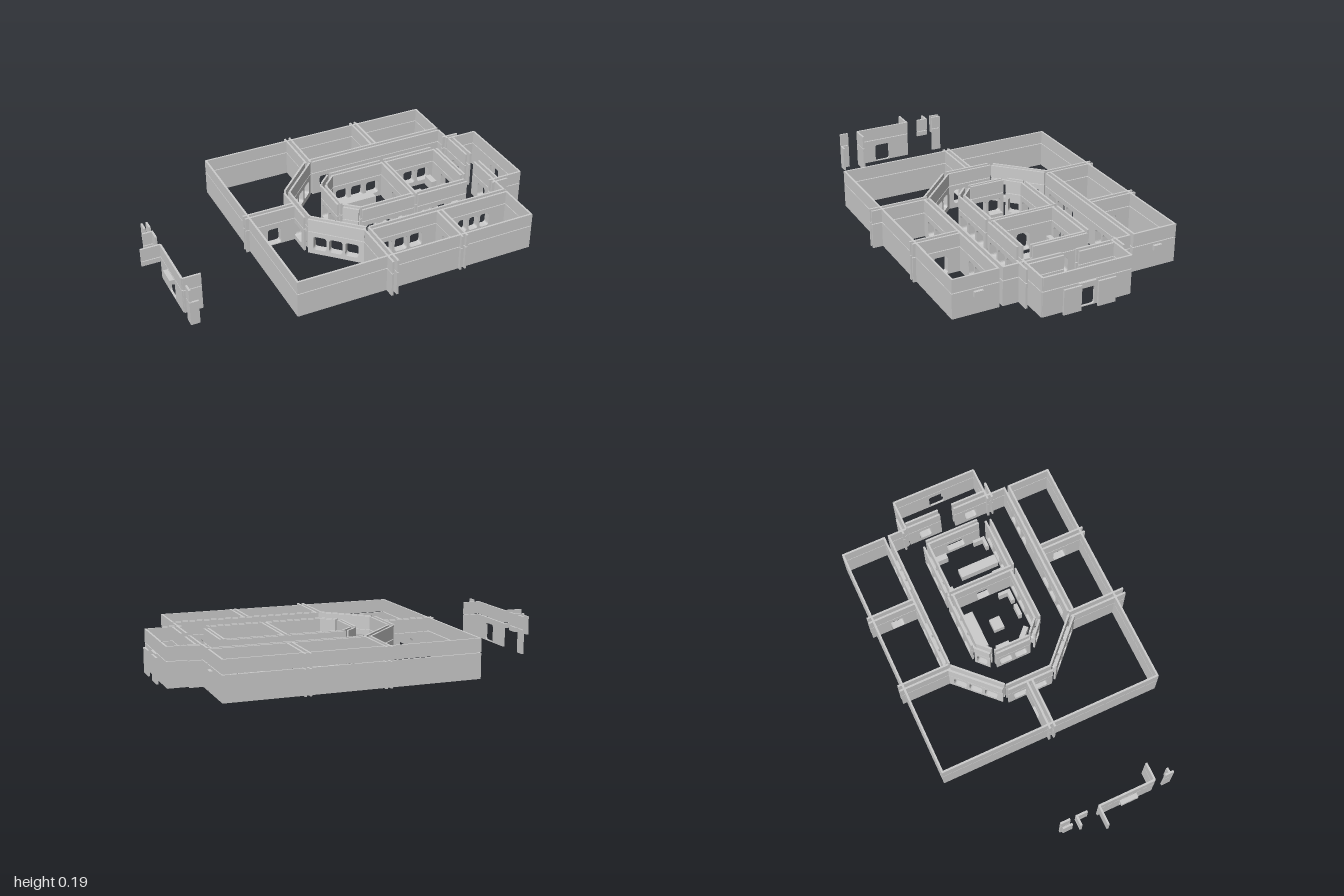
import * as THREE from 'three';

const SEAM = 0.125, UP = 0.129, TOP = 0.195, T = 0.01;
const mat = new THREE.MeshStandardMaterial({ color: 0xcccccc, flatShading: true, side: THREE.DoubleSide });

// rounded rectangle outline, used for openings
function rounded(target, x0, y0, x1, y1, r) {
  target.moveTo(x0 + r, y0);
  target.lineTo(x1 - r, y0);
  target.quadraticCurveTo(x1, y0, x1, y0 + r);
  target.lineTo(x1, y1 - r);
  target.quadraticCurveTo(x1, y1, x1 - r, y1);
  target.lineTo(x0 + r, y1);
  target.quadraticCurveTo(x0, y1, x0, y1 - r);
  target.lineTo(x0, y0 + r);
  target.quadraticCurveTo(x0, y0, x0 + r, y0);
  return target;
}

export function createModel() {
  const root = new THREE.Group();
  let parent = root;

  function section(name) {
    parent = new THREE.Group();
    parent.name = name;
    root.add(parent);
  }

  function extrude(name, shape, depth, a, b, offset) {
    const geo = new THREE.ExtrudeGeometry(shape, { depth, bevelEnabled: false, curveSegments: 4 });
    geo.translate(0, 0, offset - depth / 2);
    const mesh = new THREE.Mesh(geo, mat);
    mesh.name = name;
    mesh.position.set(a[0], 0, a[1]);
    mesh.rotation.y = -Math.atan2(b[1] - a[1], b[0] - a[0]);
    parent.add(mesh);
  }

  // one thin upright panel from a to b; openings are [centre, width, bottom, top]
  function panel(name, a, b, y0, y1, openings = [], offset = 0) {
    const len = Math.hypot(b[0] - a[0], b[1] - a[1]);
    const s = new THREE.Shape();
    s.moveTo(0, y0); s.lineTo(len, y0); s.lineTo(len, y1); s.lineTo(0, y1); s.closePath();
    for (const [c, w, lo, hi] of openings)
      s.holes.push(rounded(new THREE.Path(), c - w / 2, lo, c + w / 2, hi, 0.014));
    extrude(name, s, T, a, b, offset);
  }

  // lower and upper panel with the seam between them
  function wall(name, a, b, openings = []) {
    panel(name + 'Lower', a, b, 0, SEAM, openings);
    panel(name + 'Upper', a, b, UP, TOP);
  }

  // two parallel skins with a frame lining every opening
  function doubleWall(name, a, b, openings = [], gap = 0.026) {
    for (const side of [-1, 1]) {
      panel(name + 'Lower', a, b, 0, SEAM, openings, side * gap / 2);
      panel(name + 'Upper', a, b, UP, TOP, [], side * gap / 2);
    }
    for (const [c, w, lo, hi] of openings) {
      const s = rounded(new THREE.Shape(), c - w / 2 - 0.004, lo - 0.003, c + w / 2 + 0.004, hi + 0.004, 0.014);
      s.holes.push(rounded(new THREE.Path(), c - w / 2, lo, c + w / 2, hi, 0.014));
      extrude(name + 'Frame', s, gap - T, a, b, 0);
    }
  }

  // evenly spaced windows between two distances along a wall
  const windows = (from, to, n) => Array.from({ length: n }, (_, i) => {
    const step = (to - from) / n;
    return [from + step * (i + 0.5), step * 0.82, 0.025, 0.1];
  });
  const door = (c, w = 0.07) => [[c, w, 0.004, 0.095]];

  function box(name, x0, x1, z0, z1, y0, y1, turn = 0) {
    const m = new THREE.Mesh(new THREE.BoxGeometry(x1 - x0, y1 - y0, z1 - z0), mat);
    m.name = name;
    m.position.set((x0 + x1) / 2, (y0 + y1) / 2, (z0 + z1) / 2);
    m.rotation.y = turn;
    parent.add(m);
  }

  section('outerWalls');
  wall('backWall', [-0.447, -0.59], [0.805, -0.59]);
  wall('frontWall', [-0.447, 0.555], [0.805, 0.555]);
  wall('rightWall', [-0.442, -0.59], [-0.442, 0.555]);
  for (const [z0, z1] of [[-0.59, -0.365], [-0.34, -0.245], [0.205, 0.31], [0.335, 0.555]])
    wall('leftWall', [0.8, z0], [0.8, z1]);
  for (const z of [-0.48, 0.443])
    box('sideDoorCanopy', 0.82, 0.835, z - 0.022, z + 0.022, 0.1, SEAM);

  section('crossWalls');
  doubleWall('backCrossWall', [0.028, -0.615], [0.028, -0.345]);
  doubleWall('frontCrossWall', [0.028, 0.31], [0.028, 0.61]);
  doubleWall('backRoomDivider', [0.417, -0.615], [0.417, -0.37], door(0.14));
  doubleWall('frontRoomDivider', [0.417, 0.335], [0.417, 0.575], door(0.1));
  doubleWall('rightDivider', [-0.465, -0.021], [-0.2, -0.021], door(0.15));

  section('hallWalls');
  const longOpenings = [...windows(0.035, 0.285, 3), ...windows(0.475, 0.665, 3)];
  doubleWall('backHallWall', [0.045, -0.352], [0.805, -0.352], longOpenings);
  doubleWall('frontHallWall', [0.045, 0.321], [0.805, 0.321], longOpenings);
  doubleWall('endHallWall', [-0.188, -0.135], [-0.188, 0.105], windows(0.02, 0.22, 2));
  doubleWall('backAngledWall', [-0.178, -0.147], [0.022, -0.347], windows(0.02, 0.265, 3));
  doubleWall('frontAngledWall', [-0.182, 0.115], [0.022, 0.314], windows(0.02, 0.265, 3));

  section('innerRooms');
  for (const z of [-0.188, 0.155]) {
    doubleWall('roomSideWall', [0.08, z], [0.368, z], windows(0.015, 0.275, 3));
    doubleWall('roomSideWall', [0.39, z], [0.67, z], windows(0.015, 0.265, 3));
  }
  doubleWall('roomEndWall', [0.003, -0.11], [0.003, 0.075], windows(0.01, 0.175, 2), 0.02);
  doubleWall('roomAngledWall', [0.015, -0.128], [0.075, -0.185], windows(0.008, 0.075, 1), 0.026);
  doubleWall('roomAngledWall', [0.015, 0.095], [0.075, 0.15], windows(0.008, 0.073, 1), 0.026);
  doubleWall('roomDivider', [0.379, -0.185], [0.379, 0.155], door(0.17), 0.022);
  doubleWall('roomFarWall', [0.685, -0.18], [0.685, 0.105], windows(0.09, 0.21, 1), 0.02);

  section('furniture');
  const H = 0.05;
  box('longCounter', 0.1, 0.3, -0.155, -0.105, 0, H);
  box('bench', 0.055, 0.08, -0.075, -0.005, 0, H);
  box('centreTable', 0.16, 0.225, -0.045, 0.01, 0.005, 0.04);
  box('angledBench', 0.055, 0.12, 0.072, 0.098, 0, H, -Math.PI / 4);
  box('lowCabinet', 0.18, 0.245, 0.1, 0.12, 0, H);
  box('cornerDeskSide', 0.318, 0.335, 0.055, 0.12, 0, H);
  box('cornerDeskFront', 0.27, 0.318, 0.1, 0.12, 0, H);
  box('backShelf', 0.395, 0.47, -0.165, -0.14, 0, H);
  box('frontCabinet', 0.395, 0.46, 0.08, 0.13, 0, H);
  box('longTable', 0.495, 0.545, -0.075, 0.13, 0, 0.045);
  box('sideCabinet', 0.625, 0.655, -0.165, -0.095, 0, H);
  box('secondDeskSide', 0.645, 0.66, 0.06, 0.125, 0, H);
  box('secondDeskFront', 0.6, 0.645, 0.108, 0.125, 0, H);

  section('porch');
  wall('porchBackWall', [0.8, -0.243], [0.965, -0.243]);
  wall('porchFrontWall', [0.78, 0.205], [0.965, 0.205]);
  wall('porchBackFin', [0.78, -0.266], [0.87, -0.266]);
  wall('porchFrontFin', [0.78, 0.23], [0.87, 0.23]);
  wall('porchFace', [0.963, -0.243], [0.963, 0.205], door(0.228, 0.08));
  doubleWall('lobbyWall', [0.816, -0.235], [0.816, -0.055], windows(0.05, 0.13, 1));
  doubleWall('lobbyWall', [0.816, 0.022], [0.816, 0.205], windows(0.05, 0.13, 1));
  panel('entranceScreen', [0.99, -0.15], [0.99, -0.06], 0, SEAM);
  panel('entranceScreen', [0.99, 0.025], [0.99, 0.115], 0, SEAM);
  panel('entranceLintel', [0.972, -0.06], [0.972, 0.028], 0.1, SEAM);

  // separate wall fragments beyond the right side
  section('detachedWalls');
  wall('entryWall', [-0.9, 0.01], [-0.9, 0.305], door(0.155, 0.08));
  wall('entryReturn', [-0.9, 0.305], [-0.81, 0.305]);
  box('doorCanopy', -0.93, -0.907, 0.12, 0.21, 0.1, SEAM);
  const hanging = [[[-1, 0.012], [-0.9, 0.012]], [[-0.95, -0.105], [-0.895, -0.105]], [[-0.9, -0.105], [-0.9, -0.05]]];
  for (const [a, b] of hanging) {
    panel('hangingLintel', a, b, 0.1, SEAM);
    panel('hangingPanel', a, b, UP, TOP);
  }
  wall('cornerPost', [-0.9, 0.36], [-0.9, 0.405]);
  panel('cornerPostReturn', [-0.9, 0.4], [-0.86, 0.4], 0, SEAM);
  wall('farPost', [-0.9, -0.19], [-0.9, -0.14]);
  panel('farPostPanel', [-0.925, -0.19], [-0.925, -0.14], 0.1, TOP);

  return root;
}
